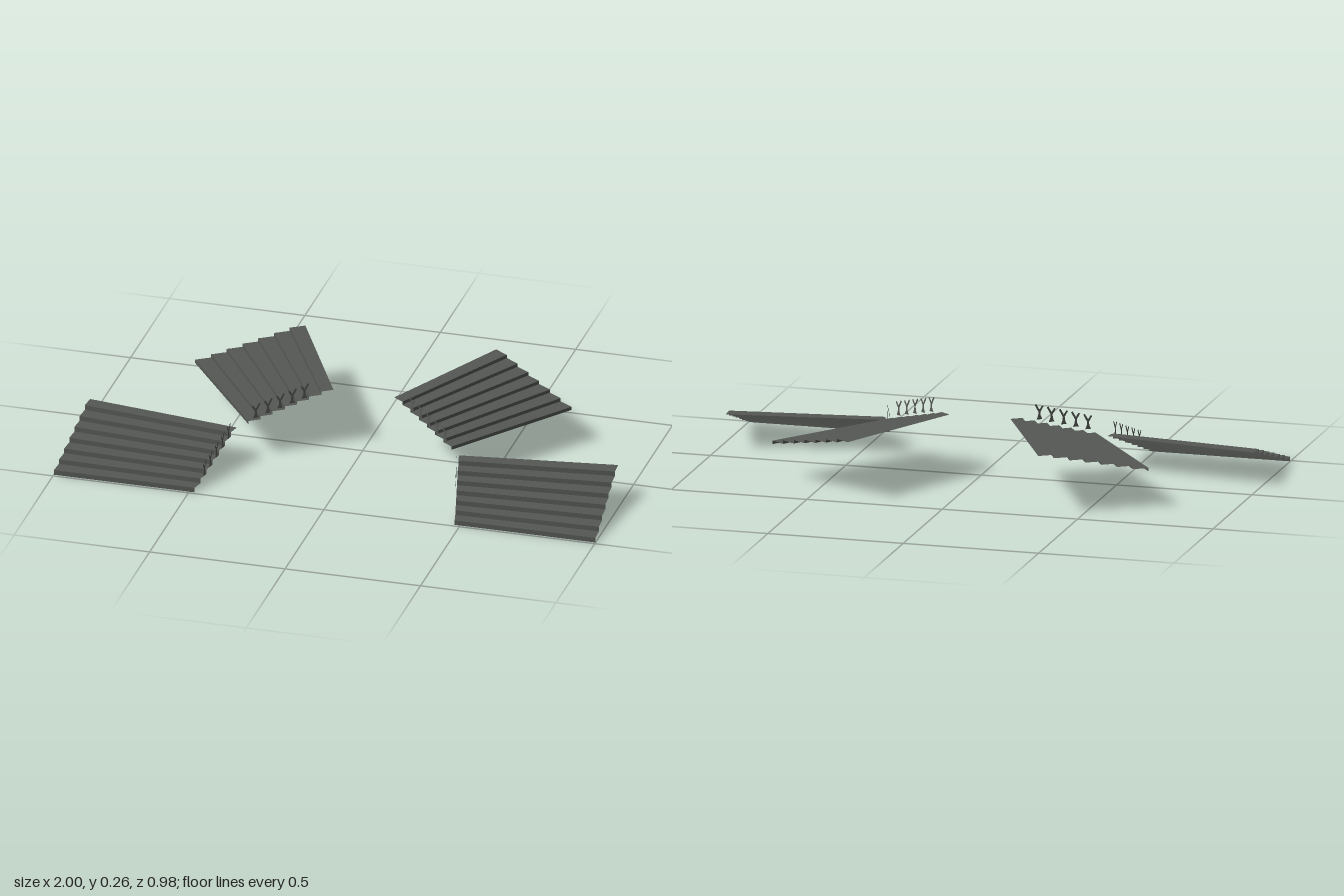
import * as THREE from 'three';

const STEPS = 7;

export function createModel() {
  const model = new THREE.Group();
  model.name = 'curvedStaircases';
  const stone = new THREE.MeshStandardMaterial({ color: 0x555855, side: THREE.DoubleSide });
  stone.name = 'darkGreyStone';

  // Flat forked post with a splayed foot; its local +x points uphill
  const fork = new THREE.Shape([
    [-0.009, 0], [0.009, 0], [0.004, 0.014], [0.003, 0.027], [0.015, 0.054],
    [0.010, 0.057], [0, 0.036], [-0.008, 0.050], [-0.013, 0.047], [-0.003, 0.027], [-0.004, 0.014],
  ].map(([x, y]) => new THREE.Vector2(x, y)));
  const postGeometry = new THREE.ShapeGeometry(fork);

  // Open run of fanning risers and treads between an inner and an outer edge
  function stairGeometry(f, side) {
    const at = ([a, b], t, y) => [
      side * THREE.MathUtils.lerp(a[0], b[0], t), y, THREE.MathUtils.lerp(a[1], b[1], t)];
    const positions = [];
    const quad = (a, b, c, d) => {
      const order = side > 0 ? [a, b, c, a, c, d] : [a, c, b, a, d, c];
      order.forEach((p) => positions.push(...p));
    };
    const rise = (f.top - f.bottom) / STEPS;
    for (let i = 0; i < STEPS; i++) {
      const t0 = i / STEPS, t1 = (i + 1) / STEPS;
      const y0 = f.bottom + i * rise, y1 = y0 + rise;
      quad(at(f.inner, t0, y0), at(f.outer, t0, y0), at(f.outer, t0, y1), at(f.inner, t0, y1));
      quad(at(f.inner, t0, y1), at(f.outer, t0, y1), at(f.outer, t1, y1), at(f.inner, t1, y1));
    }
    const g = new THREE.BufferGeometry();
    g.setAttribute('position', new THREE.Float32BufferAttribute(positions, 3));
    g.computeVertexNormals();
    return g;
  }

  // Edges run from the foot of the flight to its head, as [x, z]
  const flights = [
    { name: 'LowerFlight', bottom: 0, top: 0.125, postStart: 1.47, gap: 0.004, lift: 0.004, postWidth: 1,
      inner: [[0.48, 0.49], [0.41, 0.19]], outer: [[1, 0.49], [0.975, 0.11]] },
    { name: 'UpperFlight', bottom: 0.13, top: 0.218, postStart: 0.55, gap: 0.008, lift: 0, postWidth: 1.2,
      inner: [[0.375, 0.163], [0.112, -0.015]], outer: [[0.695, -0.265], [0.352, -0.49]] },
  ];

  for (const side of [1, -1]) {
    for (const f of flights) {
      const flight = new THREE.Group();
      flight.name = (side > 0 ? 'left' : 'right') + f.name;
      const steps = new THREE.Mesh(stairGeometry(f, side), stone);
      steps.name = 'steps';
      flight.add(steps);

      // Row of posts just off the inner edge
      const [a, b] = f.inner;
      const dx = b[0] - a[0], dz = b[1] - a[1], len = Math.hypot(dx, dz);
      const rise = (f.top - f.bottom) / STEPS;
      for (let i = 0; i < 5; i++) {
        const t = (f.postStart + i) / STEPS;
        const post = new THREE.Mesh(postGeometry, stone);
        post.name = 'railPost';
        post.position.set(
          side * (a[0] + dx * t + (dz / len) * f.gap),
          f.bottom + rise * (i + 2) + f.lift,
          a[1] + dz * t - (dx / len) * f.gap);
        post.rotation.y = Math.atan2(-dz, side * dx);
        post.scale.x = f.postWidth;
        flight.add(post);
      }
      model.add(flight);
    }
  }
  return model;
}
